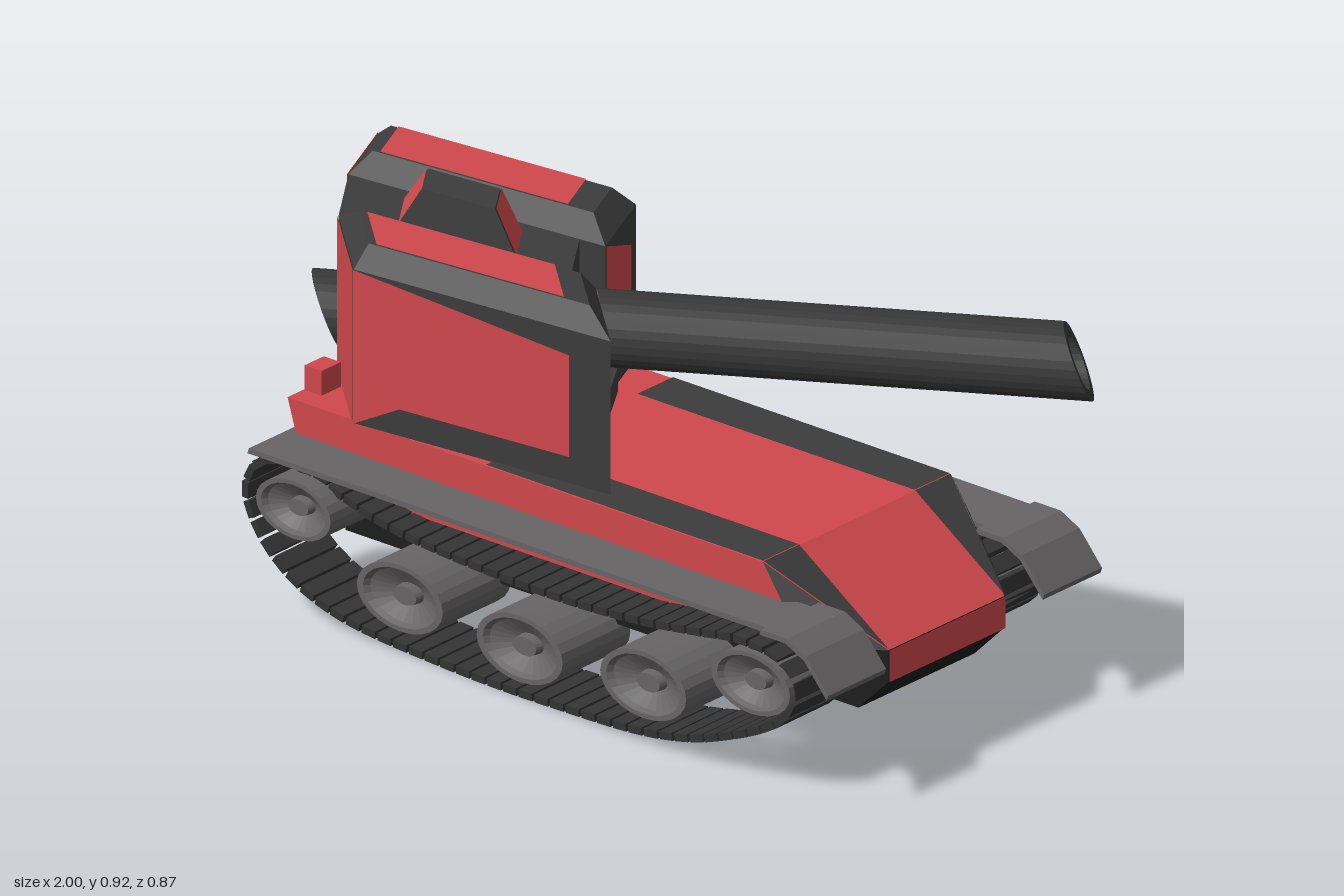
import * as THREE from 'three';
import { mergeGeometries } from 'three/addons/utils/BufferGeometryUtils.js';
import { ConvexGeometry } from 'three/addons/geometries/ConvexGeometry.js';

const mat = (color, flatShading = true, side = THREE.FrontSide) =>
  new THREE.MeshStandardMaterial({ color, flatShading, side });
const RED = 0xd0484c, DARK = 0x3c3c3c, BLACK = 0x1e1e1e, GREY = 0x666464;
const V = (x, y, z) => new THREE.Vector3(x, y, z);

function add(parent, name, geometry, material) {
  const mesh = new THREE.Mesh(geometry, material);
  mesh.name = name;
  parent.add(mesh);
  return mesh;
}

// Convex solid from its corners
const solid = (parent, name, points, color) =>
  add(parent, name, new ConvexGeometry(points), mat(color));

// Flat coloured plate lying just outside a solid with the given centre
function panel(parent, name, points, color, centre) {
  const n = V(0, 0, 0).crossVectors(
    points[1].clone().sub(points[0]), points[2].clone().sub(points[0])).normalize();
  if (n.dot(points[0].clone().sub(centre)) < 0) n.negate();
  const lifted = points.map(p => p.clone().addScaledVector(n, 0.003));
  const tris = [];
  for (let i = 1; i < lifted.length - 1; i++) tris.push(lifted[0], lifted[i], lifted[i + 1]);
  const g = new THREE.BufferGeometry().setFromPoints(tris);
  g.computeVertexNormals();
  add(parent, name, g, mat(color, true, THREE.DoubleSide));
}

function buildHull() {
  const hull = new THREE.Group();
  hull.name = 'hull';
  hull.position.z = 0.01;
  const both = list => list.flatMap(([x, y, z]) => [V(x, y, z), V(x, y, -z)]);
  solid(hull, 'lowerHull', both([[-0.72, 0.28, 0.18], [-0.72, 0.13, 0.18],
    [0.65, 0.13, 0.18], [0.73, 0.21, 0.18], [0.73, 0.28, 0.18]]), BLACK);
  solid(hull, 'upperHull', both([[-0.78, 0.443, 0.29], [-0.73, 0.28, 0.29],
    [0.49, 0.443, 0.29], [0.6, 0.28, 0.29], [0.73, 0.28, 0.18]]), RED);
  const c = V(0, 0.3, 0);
  panel(hull, 'nosePlate', both([[0.73, 0.28, 0.18], [0.73, 0.21, 0.18]])
    .filter((p, i) => i !== 3).concat([V(0.73, 0.21, -0.18)]).sort((a, b) =>
      Math.atan2(a.y - 0.245, a.z) - Math.atan2(b.y - 0.245, b.z)), RED, c);
  for (const s of [1, -1]) {
    // dark deck edge and clipped front corner
    panel(hull, 'deckEdge', [V(-0.25, 0.443, 0.18 * s), V(0.49, 0.443, 0.18 * s),
      V(0.49, 0.443, 0.29 * s), V(-0.25, 0.443, 0.29 * s)], DARK, c);
    panel(hull, 'noseCorner', [V(0.49, 0.443, 0.29 * s), V(0.73, 0.28, 0.18 * s),
      V(0.6, 0.28, 0.29 * s)], DARK, c);
    panel(hull, 'noseEdge', [V(0.49, 0.443, 0.18 * s), V(0.73, 0.28, 0.18 * s),
      V(0.49, 0.443, 0.29 * s)], DARK, c);
  }
  return hull;
}

// Thin mudguard with a wider drooping front flap
function buildFender(s) {
  const g = new THREE.Group();
  g.name = 'fender';
  const strip = (name, path, z0, z1) => {
    const shape = new THREE.Shape([...path, ...path.slice().reverse().map(([x, y]) => [x - 0.004, y - 0.012])]
      .map(p => new THREE.Vector2(...p)));
    const geo = new THREE.ExtrudeGeometry(shape, { depth: z1 - z0, bevelEnabled: false });
    geo.translate(0, 0, s > 0 ? z0 : -z1);
    add(g, name, geo, mat(GREY));
  };
  strip('fenderTop', [[-0.78, 0.37], [0.67, 0.37]], 0.27, 0.41);
  strip('fenderFlap', [[0.6, 0.37], [0.67, 0.37], [0.72, 0.345], [0.78, 0.275]], 0.245, 0.425);
  g.position.z = 0.01;
  return g;
}

function buildTrack() {
  const pts = [[-0.84, 0.25], [-0.81, 0.315], [-0.74, 0.345], [-0.67, 0.34], [-0.58, 0.315],
    [-0.45, 0.285], [-0.2, 0.268], [0.05, 0.268], [0.25, 0.283], [0.4, 0.305], [0.52, 0.322],
    [0.61, 0.305], [0.66, 0.25], [0.63, 0.18], [0.45, 0.085], [0.28, 0.04], [0, 0.022],
    [-0.3, 0.021], [-0.6, 0.045], [-0.73, 0.095], [-0.81, 0.17]];
  const curve = new THREE.CatmullRomCurve3(pts.map(([x, y]) => V(x, y, 0)), true);
  const links = [], count = 76;
  for (let i = 0; i < count; i++) {
    const p = curve.getPointAt(i / count), t = curve.getTangentAt(i / count);
    links.push(new THREE.BoxGeometry(0.036, 0.017, 0.155)
      .rotateZ(Math.atan2(t.y, t.x)).translate(p.x, p.y, 0));
  }
  return mergeGeometries(links);
}

// Oval dished wheel reaching from z0 (inner) to z1 (outer)
function addWheel(parent, name, s, x, y, r, z0, z1) {
  const w = z1 - z0;
  const profile = [[0, 0], [r, 0], [r, w], [r * 0.86, w], [r * 0.78, w - 0.012],
    [r * 0.3, w - 0.035], [r * 0.27, w - 0.015], [0, w - 0.015]];
  const geo = new THREE.LatheGeometry(profile.map(p => new THREE.Vector2(...p)), 24);
  geo.rotateX(Math.PI / 2).scale(1, 0.64, 1);
  const wheel = add(parent, name, geo, mat(GREY, true, THREE.DoubleSide));
  wheel.position.set(x, y, z0 * s);
  if (s < 0) wheel.rotation.y = Math.PI;
}

function buildRunningGear(s, trackGeo) {
  const g = new THREE.Group();
  g.name = s > 0 ? 'leftRunningGear' : 'rightRunningGear';
  const track = add(g, 'track', trackGeo, mat(0x343434));
  track.position.set(0, s > 0 ? -0.008 : 0.008, s > 0 ? 0.3 : -0.32);
  track.rotation.set(0.03, -0.03, 0);
  for (const [x, y] of [[-0.42, 0.125], [-0.1, 0.105], [0.23, 0.12]]) {
    addWheel(g, 'roadWheel', s, x, y, 0.115, 0.16, 0.37);
    addWheel(g, 'returnRoller', s, x - 0.01, y > 0.11 ? 0.243 : 0.235, 0.024, 0.17, 0.31);
  }
  addWheel(g, 'rearIdler', s, -0.67, s > 0 ? 0.262 : 0.272, 0.1, 0.2, s > 0 ? 0.41 : 0.437);
  addWheel(g, 'frontIdler', s, 0.56, 0.235, 0.105, 0.2, 0.42);
  return g;
}

// Turret plan: u runs along the body (0 rear, 1 front), v across it (0 right, 3 left)
function at(u, v, y) {
  const row = [[0, 0], [0.09, 0.2], [0.21, 0.37], [0.41, 0.555]];
  const i = Math.min(2, Math.floor(v)), f = v - i;
  const mix = k => row[i][k] + (row[i + 1][k] - row[i][k]) * f;
  return V(-1 + 0.63 * u + mix(0), y, -0.24 - 0.065 * u + mix(1));
}

function buildTurret() {
  const t = new THREE.Group();
  t.name = 'turret';
  const ring = (u0, u1, v0, v1, y) => [at(u0, v0, y), at(u1, v0, y), at(u1, v1, y), at(u0, v1, y)];
  const B = 0.445, S = 0.785, T = 0.83;
  for (const [out, inn] of [[0, 1], [3, 2]]) {
    const a = Math.min(out, inn), b = a + 1, c = at(0.5, a + 0.5, 0.62);
    const lerp = f => inn + (out - inn) * f;
    solid(t, 'turretCheek', [...ring(0, 1, a, b, B), ...ring(0, 1, a, b, S),
      ...ring(0.07, 0.93, a + 0.2, b - 0.2, T)], DARK);
    panel(t, 'cheekSidePanel', [at(0, out, S), at(0.18, out, 0.73), at(0.84, out, 0.73),
      at(0.84, out, 0.505), at(0.18, out, 0.505), at(0, out, B)], RED, c);
    panel(t, 'cheekRearPanel', ring(0, 0, a, b, B).slice(1, 3).concat(
      [at(0, b, S), at(0, a, S)]), RED, c);
    panel(t, 'cheekFrontPanel', [at(1, inn, S), at(1, lerp(0.2), 0.715), at(1, lerp(0.8), 0.715),
      at(1, lerp(0.8), 0.515), at(1, lerp(0.2), 0.515), at(1, inn, B)], RED, c);
    panel(t, 'cheekTopPanel', ring(0.1, 0.83, a + 0.2, b - 0.2, T), RED, c);
  }
  // centre body between the cheeks, with a low sill in front
  solid(t, 'turretBody', [...ring(0, 0.9, 1, 2, B), ...ring(0, 0.9, 1, 2, S)], DARK);
  solid(t, 'gunSill', [...ring(0.9, 1.02, 0.75, 2, B), ...ring(0.9, 1.02, 0.75, 2, 0.5)], DARK);
  // roof hatch with red sloping ends
  solid(t, 'roofHatch', [...ring(0.23, 0.68, 1.2, 1.8, S), ...ring(0.32, 0.6, 1.25, 1.75, 0.872)], DARK);
  const hc = at(0.45, 1.5, 0.8);
  for (const [u, w] of [[0.23, 0.32], [0.68, 0.6]])
    panel(t, 'hatchEnd', [at(u, 1.2, S), at(u, 1.8, S), at(w, 1.75, 0.872), at(w, 1.25, 0.872)], RED, hc);
  const step = add(t, 'deckStep', new THREE.BoxGeometry(0.045, 0.055, 0.06), mat(RED));
  step.position.set(-0.755, 0.47, 0.22);
  return t;
}

// Long hollow barrel, its ends cut obliquely
function buildGun() {
  const R = 0.068, r = 0.049;
  const geo = new THREE.LatheGeometry([[0, 0], [R, 0], [R, 1], [r, 1], [r, 0.75], [0, 0.75]]
    .map(p => new THREE.Vector2(...p)), 28);
  const a = V(-0.89, 0.525, 0.05), b = V(0.927, 0.855, -0.172), pos = geo.attributes.position;
  for (let i = 0; i < pos.count; i++) {
    const dy = pos.getX(i), dz = pos.getZ(i);
    const p = a.clone().lerp(b, pos.getY(i));
    pos.setXYZ(i, p.x - 0.6 * dy + 0.88 * dz, p.y + dy, p.z + dz);
  }
  const flat = geo.toNonIndexed();
  flat.computeVertexNormals();
  const gun = new THREE.Mesh(flat, mat(0x363636, true, THREE.DoubleSide));
  gun.name = 'gunBarrel';
  return gun;
}

export function createModel() {
  const model = new THREE.Group();
  model.name = 'tank';
  const trackGeo = buildTrack();
  model.add(buildHull(), buildTurret(), buildGun());
  for (const s of [1, -1]) model.add(buildFender(s), buildRunningGear(s, trackGeo));
  return model;
}
